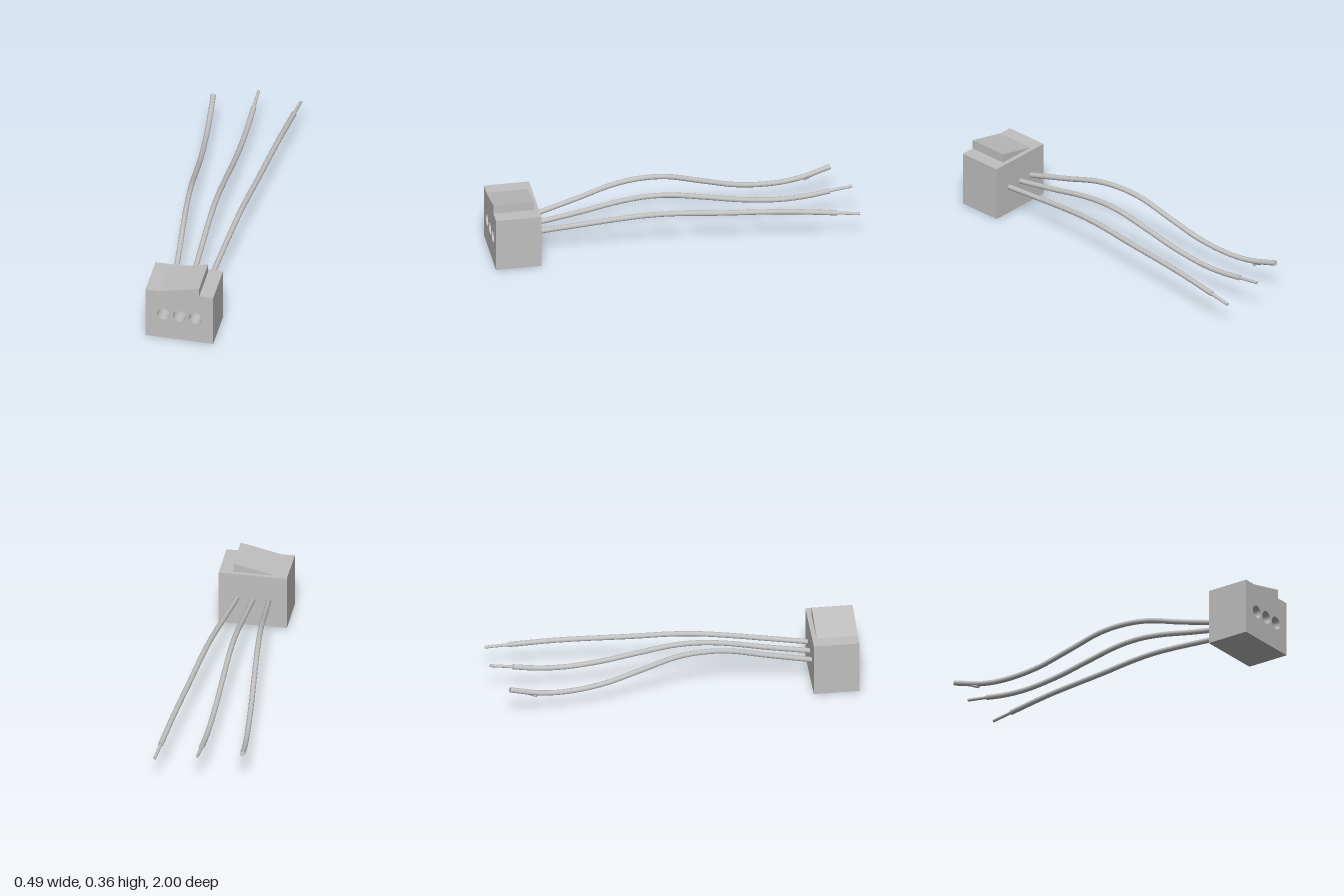
import * as THREE from 'three';

const grey = new THREE.MeshStandardMaterial({ color: 0xc0c0c0 });
grey.name = 'light grey plastic';

function add(group, name, geometry) {
  const mesh = new THREE.Mesh(geometry, grey);
  mesh.name = name;
  group.add(mesh);
  return mesh;
}

function polygon(points) {
  return new THREE.Shape(points.map(([x, y]) => new THREE.Vector2(x, y)));
}

// Prism running along z from zBack to zFront
function prism(shape, zBack, zFront) {
  const geometry = new THREE.ExtrudeGeometry(shape, {
    depth: zFront - zBack, bevelEnabled: false, curveSegments: 32,
  });
  return geometry.translate(0, 0, zBack);
}

// Closed round rod along a list of points
function rod(group, name, points, radius, segments) {
  const curve = new THREE.CatmullRomCurve3(points);
  add(group, name, new THREE.TubeGeometry(curve, segments, radius, 16));
  for (const t of [0, 1]) {
    const cap = add(group, name + 'Cap', new THREE.CircleGeometry(radius, 16));
    const outward = curve.getTangent(t).multiplyScalar(t ? 1 : -1);
    cap.position.copy(curve.getPoint(t));
    cap.quaternion.setFromUnitVectors(new THREE.Vector3(0, 0, 1), outward);
  }
}

export function createModel() {
  const model = new THREE.Group();
  model.name = 'wiredConnector';

  // Housing: front block with three blind sockets, solid block behind
  const W = 0.188, H = 0.312, socketFloor = 0.86;
  const pitch = 0.088, socketY = 0.157;
  const face = polygon([[-W, 0], [W, 0], [W, H], [-W, H]]);
  for (const i of [-1, 0, 1]) {
    const hole = new THREE.Path();
    hole.absarc(i * pitch, socketY, 0.036, 0, Math.PI * 2, true);
    face.holes.push(hole);
  }
  add(model, 'socketBlock', prism(face, socketFloor, 1));
  const back = new THREE.BoxGeometry(2 * W, H, socketFloor - 0.75);
  add(model, 'rearBlock', back.translate(0, H / 2, (socketFloor + 0.75) / 2));

  // Sloping latch on top
  const wedge = polygon([[-0.112, H], [0.11, H], [0.11, 0.363]]);
  add(model, 'latchWedge', prism(wedge, 0.775, 1));

  // Wires fan out sideways in a straight line and wave up and down: [z, y]
  const wires = [
    {
      name: 'rightWire', side: -1, spread: 0.088,
      path: [[0.75, 0.16], [0.5, 0.225], [0.3, 0.28], [0.15, 0.295], [0, 0.283],
        [-0.2, 0.224], [-0.4, 0.167], [-0.6, 0.145], [-0.75, 0.156], [-0.92, 0.2]],
      tip: [[-0.77, 0.141], [-0.91, 0.205]],
    },
    {
      name: 'middleWire', side: 0, spread: 0.084,
      path: [[0.75, 0.16], [0.5, 0.205], [0.3, 0.245], [0.15, 0.262], [0, 0.257],
        [-0.2, 0.222], [-0.4, 0.185], [-0.6, 0.166], [-0.75, 0.172], [-0.875, 0.19]],
      tip: [[-0.86, 0.188], [-1, 0.208]],
    },
    {
      name: 'leftWire', side: 1, spread: 0.084,
      path: [[0.75, 0.16], [0.5, 0.191], [0.3, 0.215], [0.15, 0.228], [0, 0.23],
        [-0.2, 0.221], [-0.6, 0.208], [-0.875, 0.185]],
      tip: [[-0.86, 0.186], [-1, 0.172]],
    },
  ];
  for (const { name, side, spread, path, tip } of wires) {
    const wire = new THREE.Group();
    wire.name = name;
    const place = ([z, y]) =>
      new THREE.Vector3(side * (pitch + spread * (0.75 - z)), y, z);
    rod(wire, name + 'Insulation', path.map(place), 0.0145, 64);
    rod(wire, name + 'BareTip', tip.map(place), 0.0085, 1);
    model.add(wire);
  }
  return model;
}
